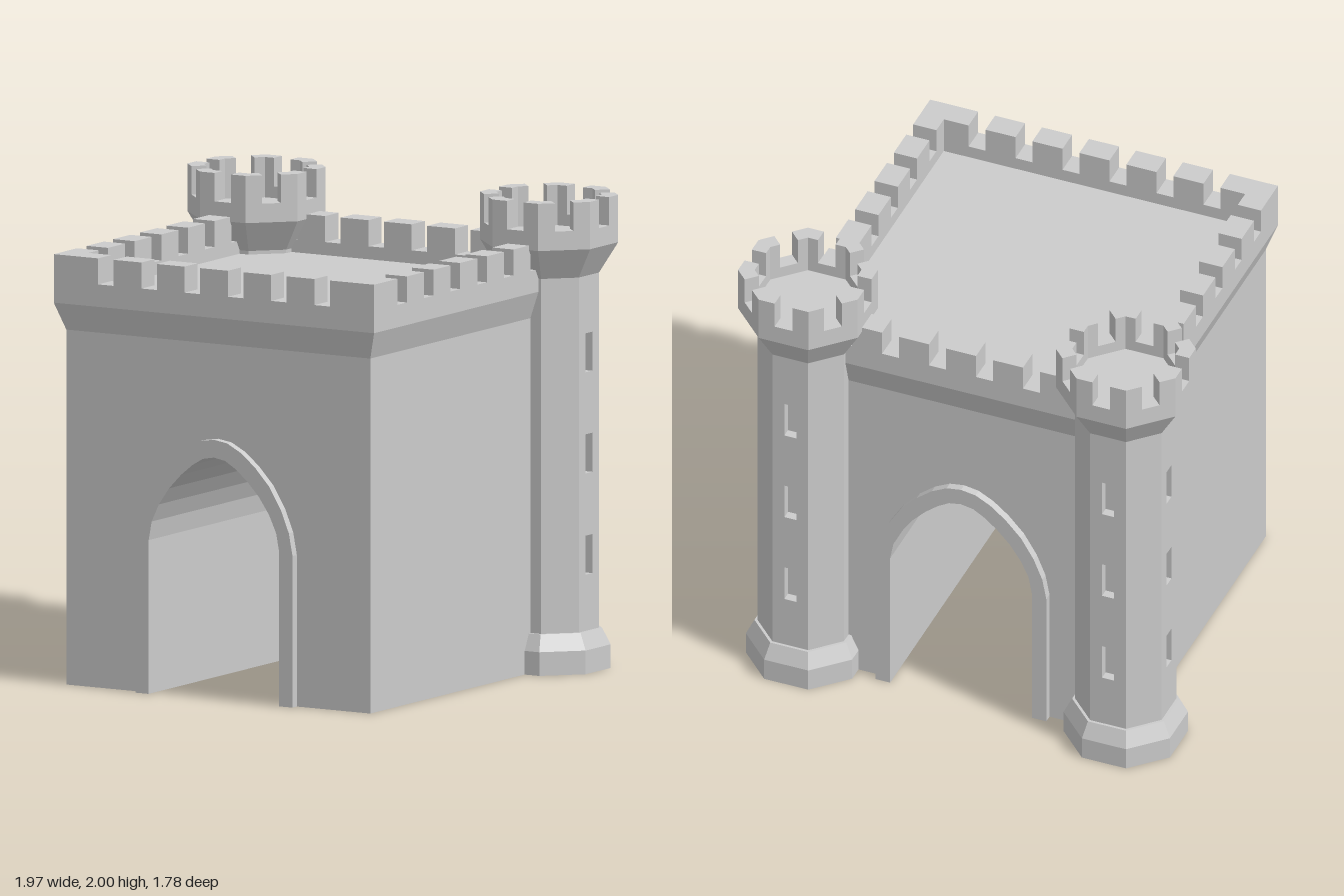
import * as THREE from 'three';

const material = new THREE.MeshStandardMaterial({ color: 0xcccccc, flatShading: true });
const TAN = Math.tan(Math.PI / 8);
const COS = Math.cos(Math.PI / 8);

function add(parent, name, geometry, x = 0, y = 0, z = 0) {
  const mesh = new THREE.Mesh(geometry, material);
  mesh.name = name;
  mesh.position.set(x, y, z);
  parent.add(mesh);
  return mesh;
}

// Box given by its limits on each axis
function block(parent, name, x0, x1, y0, y1, z0, z1) {
  return add(parent, name, new THREE.BoxGeometry(x1 - x0, y1 - y0, z1 - z0),
    (x0 + x1) / 2, (y0 + y1) / 2, (z0 + z1) / 2);
}

function shapeOf(points) {
  return new THREE.Shape(points.map(([x, y]) => new THREE.Vector2(x, y)));
}

function extrude(shape, depth) {
  return new THREE.ExtrudeGeometry(shape, { depth, bevelEnabled: false });
}

// Octagonal stage with flats on the axes, sized by its apothems
function octagon(parent, name, bottom, top, y0, y1) {
  const geometry = new THREE.CylinderGeometry(top / COS, bottom / COS, y1 - y0, 8, 1, false, Math.PI / 8);
  return add(parent, name, geometry, 0, (y0 + y1) / 2, 0);
}

function octagonPoints(apothem) {
  return Array.from({ length: 8 }, (_, i) => {
    const a = (i + 0.5) * Math.PI / 4;
    return [Math.cos(a) * apothem / COS, Math.sin(a) * apothem / COS];
  });
}

// Half profile (right side, bottom to crown) mirrored into a full arch line
function archLine(half) {
  return [...half, ...half.slice(0, -1).reverse().map(([x, y]) => [-x, y])];
}

const innerArch = archLine([[0.32, 0], [0.32, 0.65], [0.305, 0.73], [0.27, 0.805], [0.22, 0.877],
  [0.16, 0.94], [0.105, 0.985], [0.055, 1.015], [0, 1.025]]);
const outerArch = archLine([[0.385, 0], [0.385, 0.64], [0.367, 0.735], [0.328, 0.83], [0.27, 0.925],
  [0.2, 1.0], [0.132, 1.055], [0.065, 1.09], [0, 1.1]]);

// Solid stretches left between gaps of a battlement
function merlonSpans(start, end, gapCentres, gapWidth) {
  const spans = [];
  let from = start;
  for (const g of gapCentres) {
    spans.push([from, g - gapWidth / 2]);
    from = g + gapWidth / 2;
  }
  spans.push([from, end]);
  return spans;
}

function createGatehouse() {
  const house = new THREE.Group();
  house.name = 'gatehouse';

  // Walls with the passage running front to back
  const wall = shapeOf([[-0.745, 0], [-0.745, 1.5], [0.745, 1.5], [0.745, 0], ...innerArch]);
  add(house, 'walls', extrude(wall, 1.5), 0, 0, -0.65);

  // Raised arch surrounds, front and back
  const surround = extrude(shapeOf([...outerArch, ...innerArch.slice().reverse()]), 0.035);
  add(house, 'frontArchSurround', surround, 0, 0, 0.85);
  add(house, 'backArchSurround', surround, 0, 0, -0.685);

  // Flared course carrying the parapet
  const flare = new THREE.BoxGeometry(1.49, 0.115, 1.5);
  const p = flare.attributes.position;
  for (let i = 0; i < p.count; i++) {
    if (p.getY(i) > 0) {
      p.setX(i, Math.sign(p.getX(i)) * 0.785);
      p.setZ(i, Math.sign(p.getZ(i)) * 0.785);
    }
  }
  flare.computeVertexNormals();
  add(house, 'flaredCourse', flare, 0, 1.5575, 0.1);

  // Parapet wall around the sunken roof
  const frame = shapeOf([[-0.785, -0.885], [0.785, -0.885], [0.785, 0.685], [-0.785, 0.685]]);
  frame.holes.push(shapeOf([[-0.68, -0.78], [-0.68, 0.58], [0.68, 0.58], [0.68, -0.78]]));
  add(house, 'parapet', extrude(frame, 0.095).rotateX(-Math.PI / 2), 0, 1.615, 0);
  block(house, 'roof', -0.68, 0.68, 1.6, 1.655, -0.58, 0.78);

  // Merlons
  const frontGaps = [-0.53, -0.318, -0.106, 0.106, 0.318, 0.53];
  for (const [a, b] of merlonSpans(-0.785, 0.785, frontGaps, 0.076)) {
    block(house, 'frontMerlon', a, b, 1.71, 1.82, 0.78, 0.885);
    block(house, 'backMerlon', a, b, 1.71, 1.82, -0.685, -0.58);
  }
  const sideGaps = [-0.4, -0.188, 0.025, 0.237, 0.449, 0.661];
  for (const [a, b] of merlonSpans(-0.58, 0.78, sideGaps, 0.076)) {
    block(house, 'leftMerlon', 0.68, 0.785, 1.71, 1.82, a, b);
    block(house, 'rightMerlon', -0.785, -0.68, 1.71, 1.82, a, b);
  }
  return house;
}

// One wall of the tower shaft, with or without slit windows
function shaftPanel(windows) {
  const apothem = 0.195, depth = 0.04, half = apothem * TAN;
  const shape = shapeOf([[-half, 0.1], [half, 0.1], [half, 1.67], [-half, 1.67]]);
  if (windows) {
    for (const y of [0.407, 0.835, 1.262]) {
      shape.holes.push(shapeOf([[-0.027, y], [-0.027, y + 0.165], [0.027, y + 0.165], [0.027, y]]));
    }
  }
  return extrude(shape, depth).translate(0, 0, apothem - depth);
}

function createTower(side) {
  const tower = new THREE.Group();
  tower.name = side > 0 ? 'leftTower' : 'rightTower';
  tower.position.set(side * 0.717, 0, -0.62);

  // Foot
  octagon(tower, 'base', 0.24, 0.24, 0, 0.1);
  octagon(tower, 'baseTaper', 0.24, 0.207, 0.1, 0.17);

  // Shaft: windows on the outer side and the back
  octagon(tower, 'shaftCore', 0.155, 0.155, 0.1, 1.67);
  for (let k = 0; k < 8; k++) {
    const windows = k === 4 || k === (side > 0 ? 2 : 6);
    add(tower, 'shaftWall', shaftPanel(windows)).rotation.y = k * Math.PI / 4;
  }

  // Flared head with a sunken floor
  octagon(tower, 'flaredHead', 0.195, 0.27, 1.67, 1.8);
  octagon(tower, 'towerFloor', 0.206, 0.206, 1.79, 1.83);
  const rim = shapeOf(octagonPoints(0.27));
  rim.holes.push(shapeOf(octagonPoints(0.206)));
  add(tower, 'towerParapet', extrude(rim, 0.08).rotateX(-Math.PI / 2), 0, 1.8, 0);

  // Corner merlons, leaving a gap in the middle of each side
  const outer = 0.27, inner = 0.206, gap = 0.04;
  const turn = (x, y) => [(x - y) * Math.SQRT1_2, (x + y) * Math.SQRT1_2];
  const merlon = extrude(shapeOf([[outer, gap], [outer, outer * TAN], turn(outer, -gap),
    turn(inner, -gap), [inner, inner * TAN], [inner, gap]]), 0.12).rotateX(-Math.PI / 2);
  for (let k = 0; k < 8; k++) {
    add(tower, 'towerMerlon', merlon, 0, 1.88, 0).rotation.y = k * Math.PI / 4;
  }
  return tower;
}

export function createModel() {
  const model = new THREE.Group();
  model.name = 'castleGate';
  model.add(createGatehouse(), createTower(1), createTower(-1));
  return model;
}
